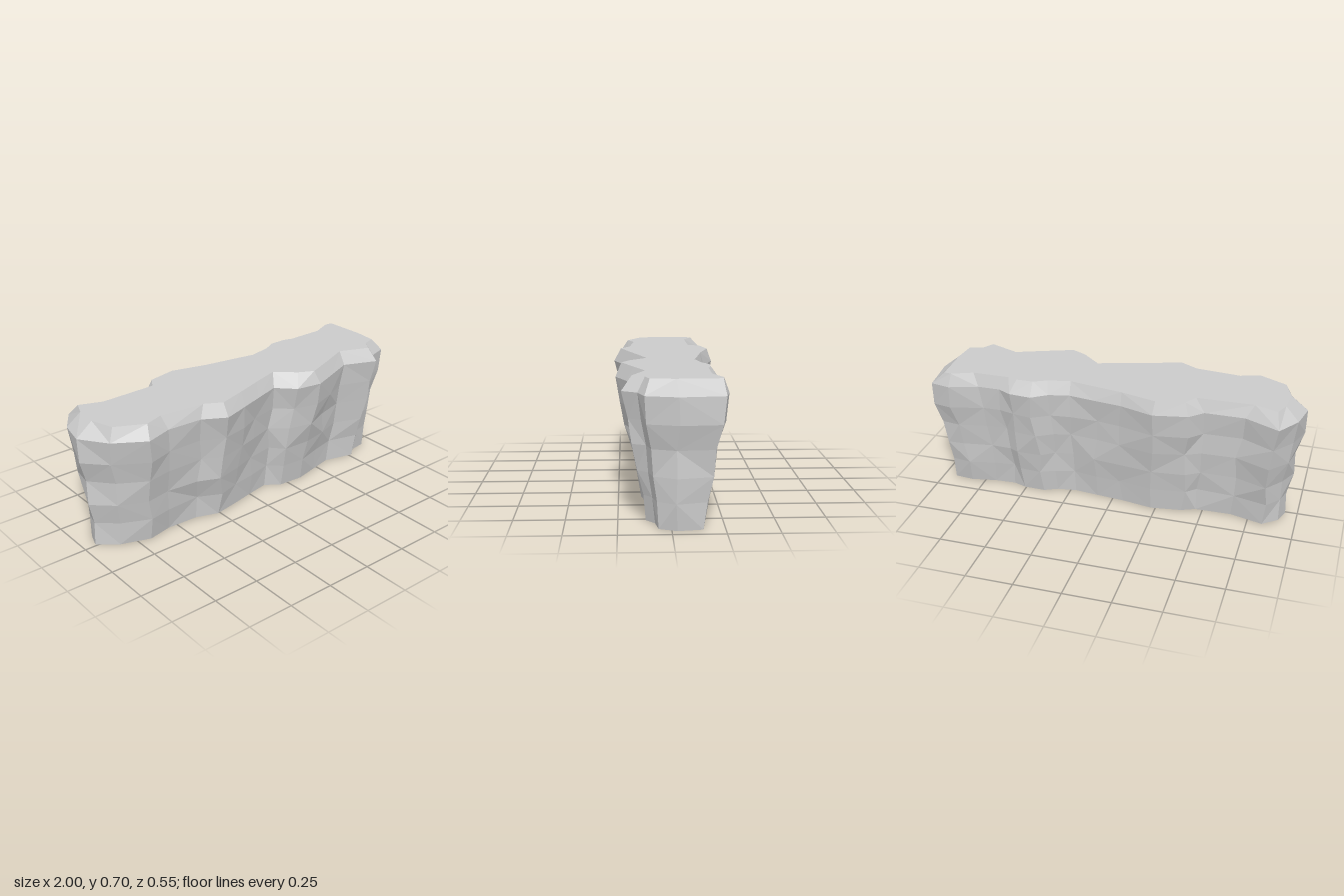
import * as THREE from 'three';

// Plan outline, counter-clockwise from the right-hand end: rim x, z, then bevelled top x, z
const OUTLINE = [
  [-1, 0, -0.91, 0], [-0.9, 0.14, -0.87, 0.12], [-0.74, 0.24, -0.72, 0.195], [-0.6, 0.195, -0.62, 0.16],
  [-0.41, 0.205, -0.38, 0.185], [-0.29, 0.273, -0.29, 0.235], [-0.15, 0.23, -0.14, 0.19], [-0.02, 0.188, 0, 0.145],
  [0.12, 0.145, 0.15, 0.1], [0.21, 0.235, 0.25, 0.19], [0.35, 0.26, 0.33, 0.23], [0.49, 0.208, 0.49, 0.17],
  [0.63, 0.155, 0.63, 0.115], [0.81, 0.23, 0.79, 0.18], [0.86, 0.155, 0.83, 0.12], [0.96, 0.125, 0.9, 0.1],
  [1, -0.03, 0.91, -0.02], [0.975, -0.245, 0.9, -0.235], [0.87, -0.265, 0.86, -0.24], [0.72, -0.215, 0.75, -0.195],
  [0.6, -0.215, 0.55, -0.195], [0.53, -0.25, 0.5, -0.21], [0.41, -0.26, 0.41, -0.21], [0.33, -0.205, 0.34, -0.175],
  [0.22, -0.18, 0.22, -0.15], [0.08, -0.2, 0.08, -0.175], [-0.07, -0.22, -0.07, -0.2], [-0.25, -0.275, -0.26, -0.25],
  [-0.43, -0.24, -0.41, -0.22], [-0.5, -0.175, -0.45, -0.155], [-0.71, -0.175, -0.75, -0.15],
  [-0.89, -0.26, -0.87, -0.195], [-0.97, -0.14, -0.9, -0.12],
];

// Wall levels from the ground to the rim: height, x scale, z scale
const LEVELS = [
  [0, 0.94, 0.55], [0.13, 0.95, 0.63], [0.25, 0.96, 0.73],
  [0.38, 0.97, 0.82], [0.5, 0.99, 0.91], [0.63, 1, 1],
];

function seeded(seed) {
  return () => {
    seed = (seed * 16807) % 2147483647;
    return (seed / 2147483647) * 2 - 1;
  };
}

function flatMesh(name, triangles) {
  const geometry = new THREE.BufferGeometry().setFromPoints(triangles);
  geometry.computeVertexNormals();
  const mesh = new THREE.Mesh(geometry, new THREE.MeshStandardMaterial({ color: 0xcccccc, flatShading: true }));
  mesh.name = name;
  return mesh;
}

// Band of triangles between two closed rings
function band(lower, upper, shift = 0) {
  const out = [];
  lower.forEach((a, i) => {
    const j = (i + 1) % lower.length;
    const b = lower[j], c = upper[j], d = upper[i];
    if ((i + shift) % 2) out.push(a, b, c, a, c, d);
    else out.push(a, b, d, b, c, d);
  });
  return out;
}

// Flat cap filling a ring
function cap(ring, facingUp) {
  const faces = THREE.ShapeUtils.triangulateShape(ring.map((p) => new THREE.Vector2(p.x, -p.z)), []);
  return faces.flatMap(([a, b, c]) => (facingUp ? [a, b, c] : [a, c, b]).map((i) => ring[i]));
}

export function createModel() {
  const group = new THREE.Group();
  group.name = 'rockLedge';
  const noise = seeded(4711);

  // Tapering rings, chipped a little everywhere below the rim
  const rings = LEVELS.map(([y, sx, sz], k) => {
    const chip = k === LEVELS.length - 1 ? 0 : k === 0 ? 0.4 : 1;
    return OUTLINE.map(([x, z]) => new THREE.Vector3(
      x * sx + 0.01 * (1 - sx) / 0.06 + noise() * 0.016 * chip,
      y,
      z * sz - 0.01 * (1 - sz) / 0.45 + noise() * 0.009 * chip,
    ));
  });
  const top = OUTLINE.map(([, , x, z]) => new THREE.Vector3(x, 0.7, z));

  // Rock walls
  const walls = [];
  for (let k = 0; k < rings.length - 1; k++) walls.push(...band(rings[k], rings[k + 1], k));
  group.add(flatMesh('rockWalls', walls));

  // Bevelled rim, flat top and underside
  group.add(flatMesh('bevelledRim', band(rings[rings.length - 1], top)));
  group.add(flatMesh('flatTop', cap(top, true)));
  group.add(flatMesh('underside', cap(rings[0], false)));
  return group;
}
